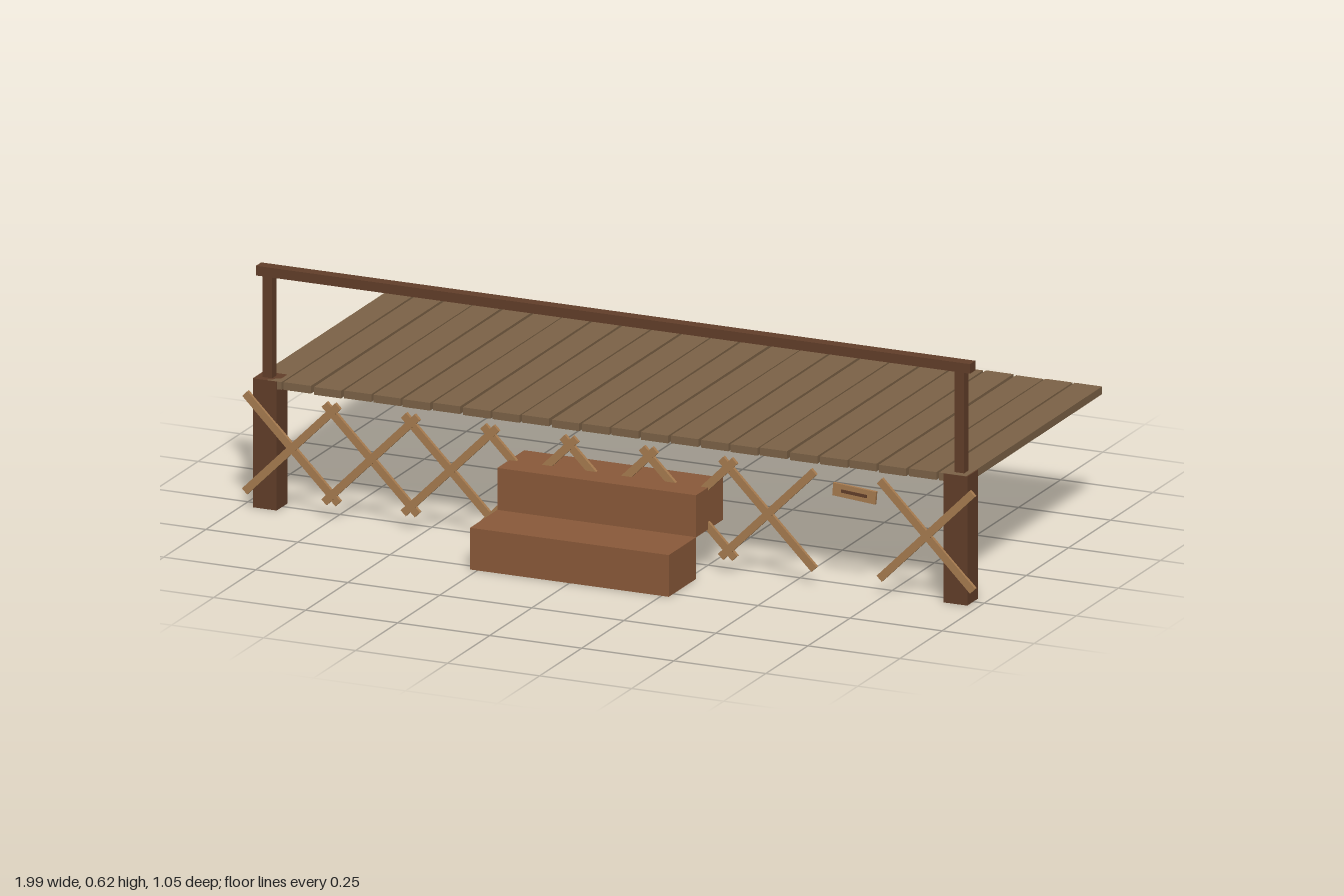
import * as THREE from 'three';

const material = (name, color) => {
  const m = new THREE.MeshStandardMaterial({ color });
  m.name = name;
  return m;
};

export function createModel() {
  const model = new THREE.Group();
  model.name = 'porch';
  const plank = material('weathered plank', 0x7d6347);
  const dark = material('dark timber', 0x633f2a);
  const stair = material('stair wood', 0x8b5a3a);
  const slat = material('pale lattice wood', 0xa87c50);

  // Box given by its centre and size
  const box = (name, mat, [x, y, z], [w, h, d], parent = model) => {
    const mesh = new THREE.Mesh(new THREE.BoxGeometry(w, h, d), mat);
    mesh.name = name;
    mesh.position.set(x, y, z);
    parent.add(mesh);
    return mesh;
  };

  // Deck planks, each laid slightly unevenly
  const deck = new THREE.Group();
  deck.name = 'deck';
  model.add(deck);
  const count = 24, pitch = 1.94 / count;
  for (let i = 0; i < count; i++) {
    const x = -0.97 + (i + 0.5) * pitch;
    const board = box('deckPlank', plank, [x, 0.324 + 0.001 * Math.sin(i * 2.3), -0.12], [0.074, 0.02, 0.81], deck);
    board.rotation.y = 0.003 * Math.sin(i * 4.7);
  }

  // Corner posts and rail uprights, mirrored
  for (const side of [-1, 1]) {
    box('cornerPost', dark, [side * 0.938, 0.167, 0.254], [0.065, 0.334, 0.064]);
    box('railPost', dark, [side * 0.94, 0.465, 0.253], [0.026, 0.27, 0.026]);
  }
  box('handrail', dark, [0, 0.608, 0.253], [1.94, 0.025, 0.031]);

  // Two steps
  box('lowerStep', stair, [0, 0.054, 0.446], [0.54, 0.108, 0.162]);
  box('upperStep', stair, [0, 0.162, 0.285], [0.54, 0.109, 0.16]);

  // Lattice of crossed slats, with one cross missing
  const lattice = new THREE.Group();
  lattice.name = 'lattice';
  model.add(lattice);
  for (let i = 0; i < 9; i++) {
    if (i === 7) continue;
    for (const dir of [-1, 1]) {
      const s = box('latticeSlat', slat, [(i - 4) * 0.2155, 0.168, 0.29 + dir * 0.0008], [0.358, 0.02, 0.0095], lattice);
      s.rotation.z = dir * Math.PI / 4;
    }
  }

  // Small tilted plaque hanging in the gap
  const plaque = new THREE.Group();
  plaque.name = 'plaque';
  plaque.position.set(0.67, 0.255, 0.297);
  plaque.rotation.z = -0.08;
  model.add(plaque);
  box('plaqueBoard', slat, [0, 0, 0], [0.117, 0.033, 0.008], plaque);
  box('plaqueMark', dark, [0, 0, 0.005], [0.07, 0.008, 0.003], plaque);

  return model;
}
